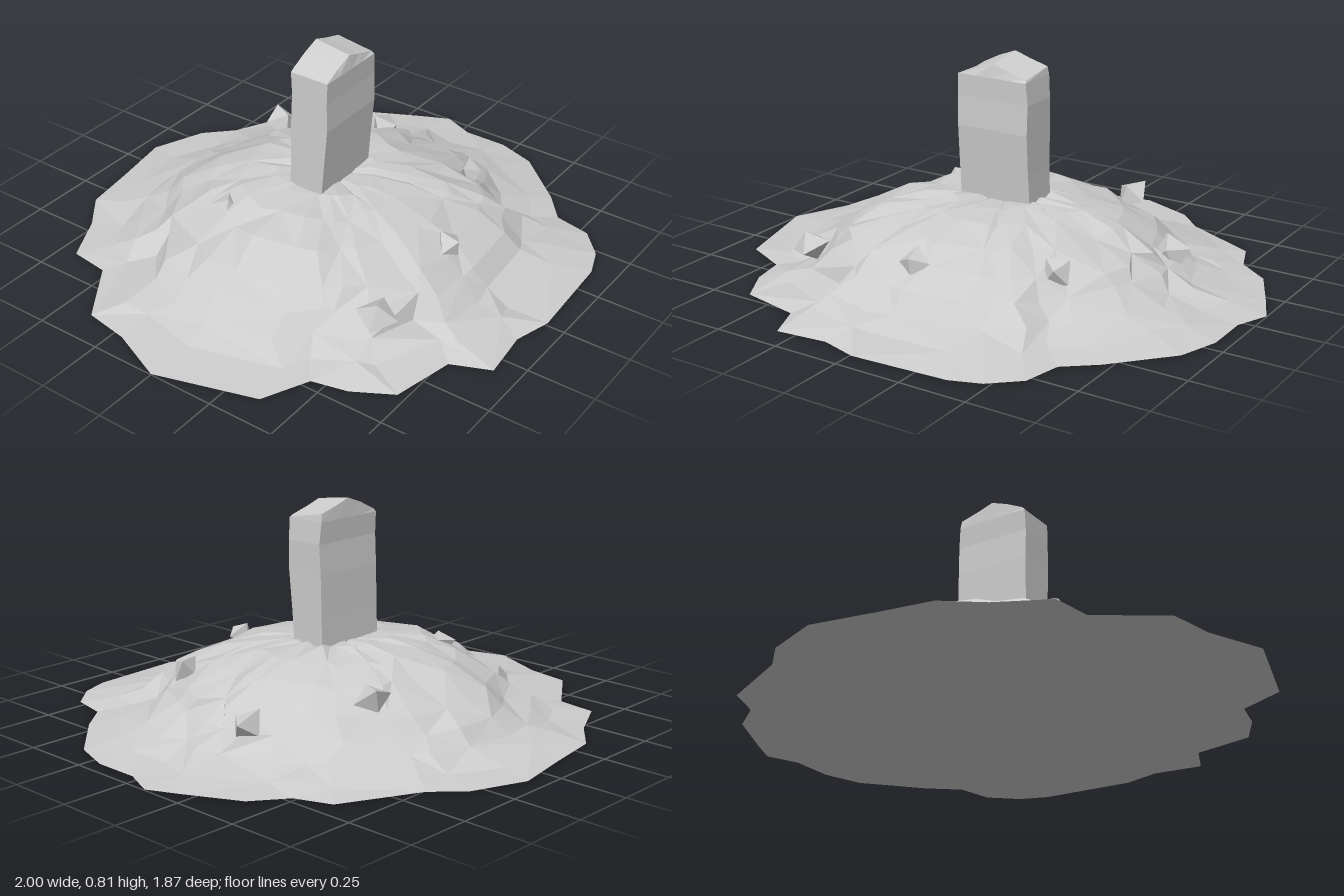
import * as THREE from 'three';

const stoneGrey = new THREE.MeshStandardMaterial({ color: 0xcccccc, flatShading: true });
stoneGrey.name = 'stone grey';

// Ragged foot of the mound as x, z pairs
const OUTLINE = [
  [0.10, -0.94], [0.30, -0.86], [0.40, -0.76], [0.68, -0.62], [0.73, -0.49], [0.85, -0.40],
  [0.95, -0.20], [1.00, -0.09], [0.95, 0.03], [0.95, 0.20], [0.90, 0.35], [0.72, 0.55],
  [0.61, 0.64], [0.58, 0.78], [0.48, 0.87], [0.37, 0.91], [0.01, 0.93], [-0.13, 0.89],
  [-0.32, 0.91], [-0.38, 0.77], [-0.61, 0.72], [-0.69, 0.58], [-0.72, 0.45], [-0.89, 0.37],
  [-1.00, 0.00], [-0.91, -0.21], [-0.88, -0.38], [-0.66, -0.53], [-0.64, -0.68],
  [-0.46, -0.77], [-0.33, -0.87], [-0.13, -0.90],
];

// Rings inward from the foot: radius fraction, height at the front, height at the back
const RINGS = [
  [1.00, 0.003, 0.003], [0.86, 0.03, 0.02], [0.75, 0.065, 0.05], [0.67, 0.13, 0.10],
  [0.59, 0.185, 0.155], [0.46, 0.235, 0.23], [0.32, 0.275, 0.275], [0.18, 0.29, 0.293],
];

function seeded(seed) {
  return () => {
    seed = (seed * 16807) % 2147483647;
    return seed / 2147483647 - 0.5;
  };
}

function flatGeometry(positions, index) {
  const g = new THREE.BufferGeometry();
  g.setAttribute('position', new THREE.Float32BufferAttribute(positions, 3));
  g.setIndex(index);
  const flat = g.toNonIndexed();
  flat.computeVertexNormals();
  return flat;
}

function moundGeometry() {
  const rand = seeded(71);
  const n = OUTLINE.length;
  const positions = [];
  const index = [];
  RINGS.forEach(([f, front, back], k) => {
    OUTLINE.forEach(([x, z]) => {
      // Rings turn rounder towards the top
      const r = f * THREE.MathUtils.lerp(0.95, Math.hypot(x, z), f * f);
      const rough = k === 0 ? 0 : 1;
      const a = Math.atan2(z, x) + rough * rand() * 0.09;
      const rr = r + rough * rand() * 0.05;
      const h = THREE.MathUtils.lerp(back, front, 0.5 + Math.sin(a) / 2);
      positions.push(Math.cos(a) * rr, h + rough * rand() * 0.025, Math.sin(a) * rr);
    });
  });
  for (let k = 0; k < RINGS.length - 1; k++) {
    for (let i = 0; i < n; i++) {
      const a = k * n + i, b = k * n + (i + 1) % n;
      if ((i + k) % 2) index.push(a, a + n, b, b, a + n, b + n);
      else index.push(a, b + n, b, a, a + n, b + n);
    }
  }
  // Crown and flat underside
  const crown = positions.length / 3;
  positions.push(0, 0.285, 0, 0, 0, 0);
  const last = (RINGS.length - 1) * n;
  for (let i = 0; i < n; i++) {
    const j = (i + 1) % n;
    index.push(last + i, crown, last + j);
    index.push(i, j, crown + 1);
  }
  return flatGeometry(positions, index);
}

// Upright slab: a stack of worn rectangular loops under an uneven top
function slabGeometry() {
  const columns = [-1, -0.5, 0, 0.45, 1];
  const top = [0.752, 0.785, 0.81, 0.79, 0.77];
  const levels = [ // y, left, right, front z, back z
    [0.22, -0.142, 0.150, 0.07, -0.065], [0.40, -0.142, 0.148, 0.085, -0.06],
    [0.55, -0.140, 0.150, 0.098, -0.058], [0.66, -0.140, 0.152, 0.096, -0.053],
    [0.74, -0.138, 0.145, 0.098, -0.058], [1, -0.128, 0.140, 0.088, -0.055],
  ];
  const c = columns.length, loop = c * 2;
  const positions = [], index = [];
  levels.forEach(([y, left, right, front, back]) => {
    const mid = (left + right) / 2, half = (right - left) / 2;
    const height = (i) => (y === 1 ? top[i] : y);
    for (let i = 0; i < c; i++) {
      positions.push(mid + half * columns[i], height(i) - (y === 1 ? 0.02 : 0), front);
    }
    for (let i = c - 1; i >= 0; i--) positions.push(mid + half * columns[i], height(i), back);
  });
  for (let k = 0; k < levels.length - 1; k++) {
    for (let i = 0; i < loop; i++) {
      const a = k * loop + i, b = k * loop + (i + 1) % loop;
      index.push(a, b, b + loop, a, b + loop, a + loop);
    }
  }
  const t = (levels.length - 1) * loop;
  for (let i = 0; i < c - 1; i++) {
    const f0 = t + i, f1 = f0 + 1, b0 = t + loop - 1 - i, b1 = b0 - 1;
    index.push(f0, f1, b1, f0, b1, b0);
  }
  return flatGeometry(positions, index);
}

export function createModel() {
  const model = new THREE.Group();
  model.name = 'gravestoneOnMound';
  const add = (name, geometry) => {
    const mesh = new THREE.Mesh(geometry, stoneGrey);
    mesh.name = name;
    model.add(mesh);
    return mesh;
  };

  add('mound', moundGeometry());
  add('headstone', slabGeometry());

  // Stones poking out of the earth: x, y, z, radius, turn
  const stones = [
    [-0.47, 0.16, 0.54, 0.075, 0.3], [0.29, 0.215, -0.43, 0.07, 1.1],
    [0.60, 0.13, -0.15, 0.075, 2.0], [-0.34, 0.235, -0.20, 0.06, 0.6],
    [-0.02, 0.19, 0.54, 0.06, 1.7], [0.43, 0.19, 0.35, 0.06, 2.5],
  ];
  stones.forEach(([x, y, z, r, turn]) => {
    const stone = add('looseStone', new THREE.OctahedronGeometry(r));
    stone.position.set(x, y, z);
    stone.rotation.set(turn * 0.4, turn, 0.3);
    stone.scale.y = 0.75;
  });
  return model;
}
